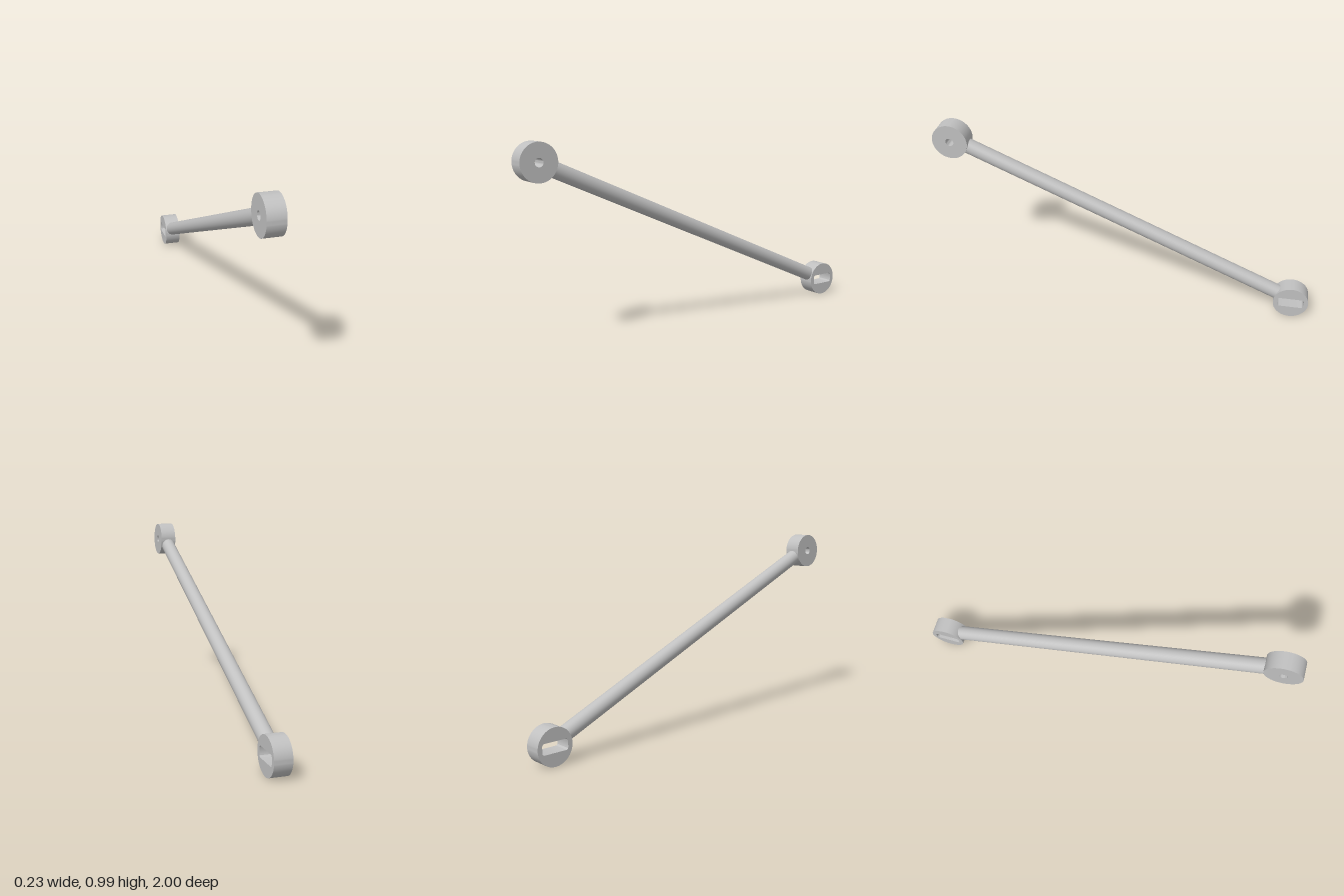
import * as THREE from 'three';
import { toCreasedNormals } from 'three/addons/utils/BufferGeometryUtils.js';

const RADIUS = 0.093, WIDTH = 0.087, YAW = 0.07;

// Round hole outline
function roundHole(r) {
  return new THREE.Path().absarc(0, 0, r, 0, Math.PI * 2, true);
}

// Rectangular slot outline with softened corners
function slotHole(w, h, r) {
  const x = w / 2, y = h / 2, q = Math.PI / 2;
  const p = new THREE.Path();
  p.absarc(x - r, y - r, r, 0, q, false);
  p.absarc(-x + r, y - r, r, q, 2 * q, false);
  p.absarc(-x + r, -y + r, r, 2 * q, 3 * q, false);
  p.absarc(x - r, -y + r, r, 3 * q, 4 * q, false);
  p.closePath();
  return p;
}

// Drilled disc whose axis lies across the rod
function makeBoss(name, hole, centre, material) {
  const shape = new THREE.Shape().absarc(0, 0, RADIUS, 0, Math.PI * 2, false);
  shape.holes.push(hole);
  const geo = new THREE.ExtrudeGeometry(shape, { depth: WIDTH, bevelEnabled: false, curveSegments: 40 });
  geo.translate(0, 0, -WIDTH / 2);
  const mesh = new THREE.Mesh(toCreasedNormals(geo, 0.5), material);
  mesh.name = name;
  mesh.position.copy(centre);
  mesh.rotation.y = Math.PI / 2 - YAW;
  return mesh;
}

export function createModel() {
  const group = new THREE.Group();
  group.name = 'linkRod';
  const steel = new THREE.MeshStandardMaterial({ color: 0xc0c0c0 });
  steel.name = 'light grey metal';

  const upper = new THREE.Vector3(-0.063, 0.9, 0.904);
  const lower = new THREE.Vector3(0.063, 0.094, -0.904);

  // End bosses
  group.add(makeBoss('upperBoss', roundHole(0.021), upper, steel));
  group.add(makeBoss('lowerBoss', slotHole(0.138, 0.054, 0.012), lower, steel));

  // Rod, stopping inside each boss clear of its hole
  const dir = upper.clone().sub(lower);
  const length = dir.length() - 2 * 0.076;
  const rod = new THREE.Mesh(new THREE.CylinderGeometry(0.039, 0.039, length, 40), steel);
  rod.name = 'rod';
  rod.position.copy(upper).add(lower).multiplyScalar(0.5);
  rod.quaternion.setFromUnitVectors(new THREE.Vector3(0, 1, 0), dir.normalize());
  group.add(rod);

  return group;
}
